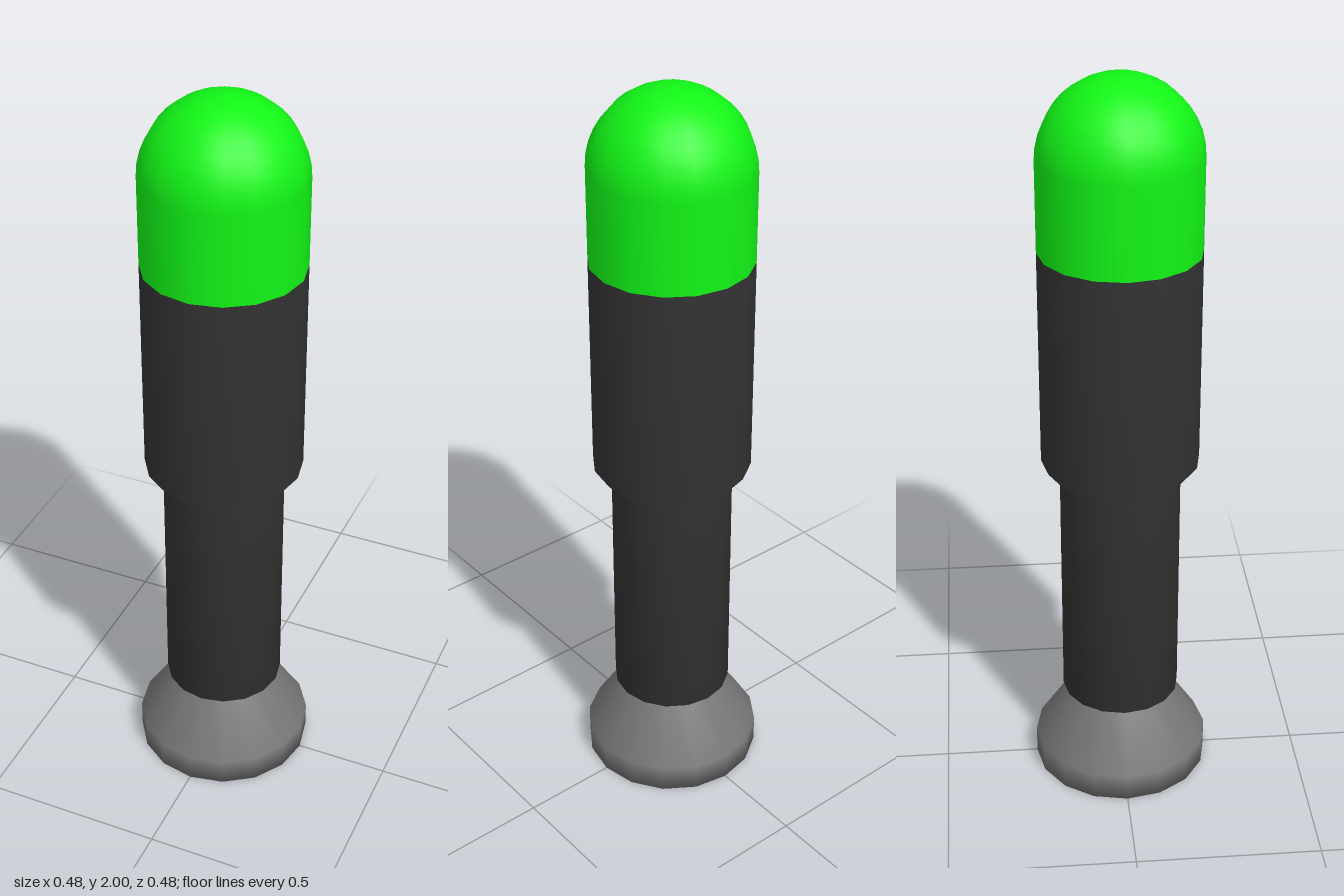
import * as THREE from 'three';

const SIDES = 16;

// Turns a bottom-to-top [radius, height] profile around the y axis
function turned(name, color, profile) {
  const points = profile.map(([r, y]) => new THREE.Vector2(r, y));
  const material = new THREE.MeshStandardMaterial({ color });
  const mesh = new THREE.Mesh(new THREE.LatheGeometry(points, SIDES), material);
  mesh.name = name;
  return mesh;
}

export function createModel() {
  const model = new THREE.Group();
  model.name = 'capsuleTool';

  // Flared foot with a short rim, closed underneath
  model.add(turned('flaredFoot', 0x777777, [
    [0, 0], [0.242, 0], [0.242, 0.075], [0.135, 0.24],
  ]));

  // Dark handle: narrow grip, chamfer, wider upper barrel
  model.add(turned('handle', 0x333333, [
    [0, 0.237], [0.162, 0.237], [0.162, 0.9], [0.211, 0.96], [0.211, 1.55],
  ]));

  // Green cap: straight collar and hemispherical dome
  const radius = 0.211, steps = 10;
  const cap = [[radius, 1.55]];
  for (let i = 0; i <= steps; i++) {
    const a = (i / steps) * Math.PI / 2;
    cap.push([i === steps ? 0 : radius * Math.cos(a), 2 - radius + radius * Math.sin(a)]);
  }
  model.add(turned('domedCap', 0x12f516, cap));

  return model;
}
